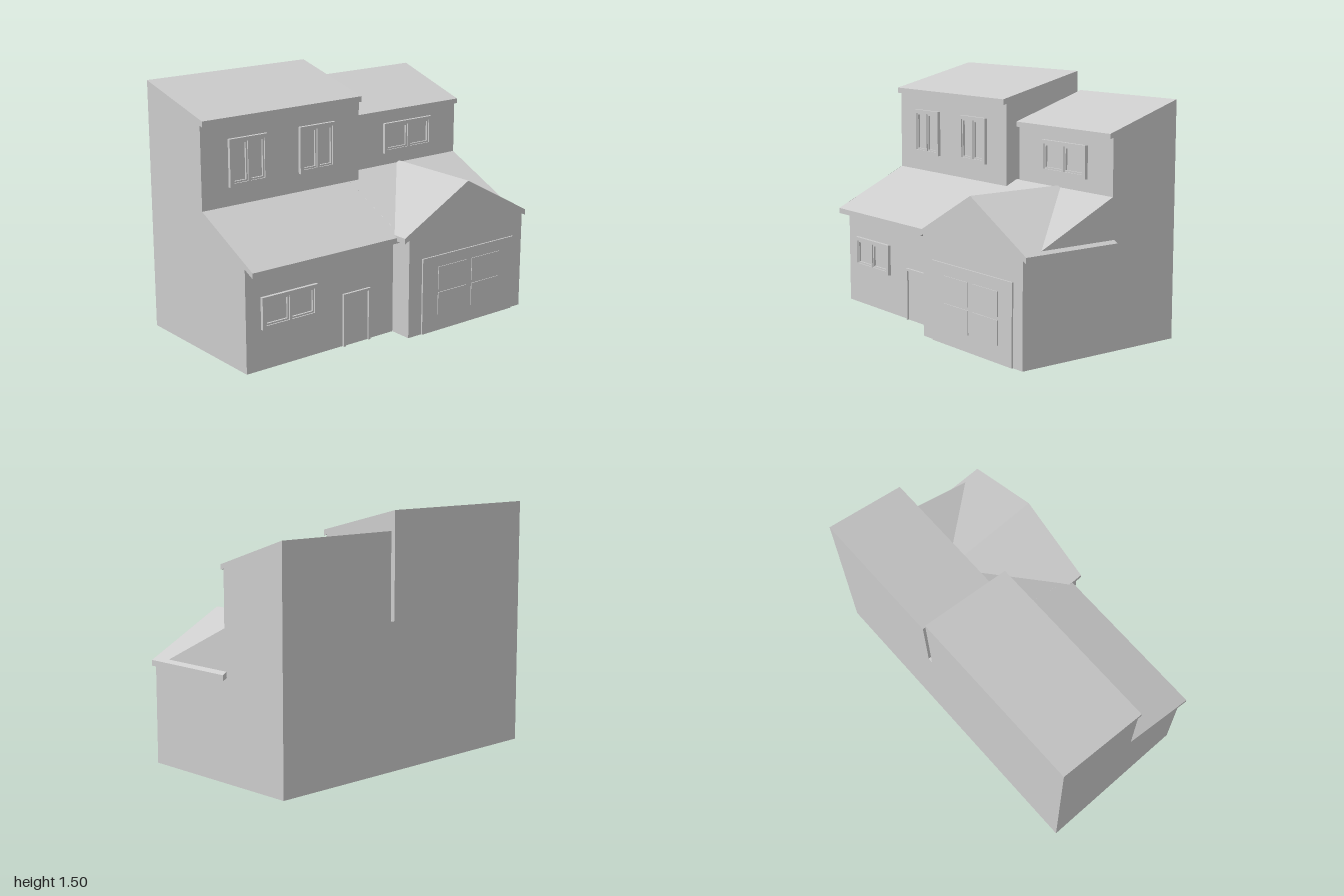
import * as THREE from 'three';

const material = new THREE.MeshStandardMaterial({ color: 0xcccccc, side: THREE.DoubleSide, flatShading: true });

function add(parent, name, geometry, x = 0, y = 0, z = 0) {
  const mesh = new THREE.Mesh(geometry, material);
  mesh.name = name;
  mesh.position.set(x, y, z);
  parent.add(mesh);
  return mesh;
}

function fromTriangles(points) {
  const g = new THREE.BufferGeometry();
  g.setAttribute('position', new THREE.Float32BufferAttribute(points.flat(), 3));
  g.computeVertexNormals();
  return g;
}

// A profile is [z, y] for axis 'x' and [x, y] for axis 'z'.
const place = (axis, [a, b], c) => (axis === 'x' ? [c, b, a] : [a, b, c]);

// Open surface swept straight along the axis from c0 to c1
function strip(axis, path, c0, c1) {
  const out = [];
  for (let i = 0; i < path.length - 1; i++) {
    const a = place(axis, path[i], c0), b = place(axis, path[i], c1);
    const c = place(axis, path[i + 1], c1), d = place(axis, path[i + 1], c0);
    out.push(a, b, c, a, c, d);
  }
  return fromTriangles(out);
}

// Flat polygon across the axis
function cap(axis, path, c) {
  const pts = path.map(([a, b]) => new THREE.Vector2(a, b));
  const tris = THREE.ShapeUtils.triangulateShape(pts, []);
  return fromTriangles(tris.flat().map((i) => place(axis, path[i], c)));
}

function rect(Type, x0, y0, x1, y1) {
  const s = new Type();
  s.moveTo(x0, y0).lineTo(x1, y0).lineTo(x1, y1).lineTo(x0, y1).closePath();
  return s;
}

// Two-pane window set through a wall at depth z
function windowUnit(parent, x0, x1, y0, y1, z) {
  const group = new THREE.Group();
  group.name = 'window';
  const b = 0.022, mid = (x0 + x1) / 2;
  const shape = rect(THREE.Shape, x0, y0, x1, y1);
  for (const [l, r] of [[x0 + b, mid - b / 3], [mid + b / 3, x1 - b]]) {
    shape.holes.push(rect(THREE.Path, l, y0 + b, r, y1 - b));
    // Slim sash inside each opening
    const sash = rect(THREE.Shape, l, y0 + b, r, y1 - b);
    sash.holes.push(rect(THREE.Path, l + 0.01, y0 + b + 0.01, r - 0.01, y1 - b - 0.01));
    add(group, 'sash', new THREE.ExtrudeGeometry(sash, { depth: 0.012, bevelEnabled: false }), 0, 0, z);
  }
  add(group, 'windowFrame', new THREE.ExtrudeGeometry(shape, { depth: 0.04, bevelEnabled: false }), 0, 0, z - 0.02);
  parent.add(group);
}

export function createModel() {
  const house = new THREE.Group();
  house.name = 'house';
  const back = -0.56, left = -1, right = 0.97, gap0 = 0.12, gap1 = 0.15;

  // Profiles [z, y] running up the front and over the roofs
  const lowerFront = [[0.4, 0], [0.4, 0.61], [0.475, 0.575], [0.475, 0.608]];
  const tallUpper = [[-0.01, 0.84], [-0.01, 1.33], [0.015, 1.324], [0.015, 1.358], [back, 1.502]];
  const shortUpper = [[-0.085, 0.875], [-0.085, 1.203], [-0.06, 1.195], [-0.06, 1.225], [back, 1.387]];

  // Ground floor front and lean-to roof
  add(house, 'lowerFrontWall', strip('x', lowerFront, left, 0.05));
  add(house, 'lowerRoof', strip('x', [[0.475, 0.608], [-0.085, 0.875]], left, 0.05));
  add(house, 'lowerRoofBehindGable', strip('x', [[0.42, 0.635], [-0.085, 0.875]], 0.05, right));

  // Upper storeys
  add(house, 'tallUpperWallAndRoof', strip('x', tallUpper, left, gap0));
  add(house, 'shortUpperWallAndRoof', strip('x', shortUpper, gap1, right));
  add(house, 'gapFloor', strip('x', [[-0.085, 0.875], [back, 0.875]], gap0, gap1));
  add(house, 'tallInnerWall', cap('x', [[back, 0.875], [-0.085, 0.875], ...tallUpper], gap0));
  add(house, 'shortInnerWall', cap('x', [[back, 0.875], ...shortUpper], gap1));

  // Outer side walls
  add(house, 'rightSideWall', cap('x', [[back, 0], ...lowerFront, ...tallUpper], left));
  add(house, 'leftSideWall', cap('x', [[back, 0], [0.545, 0], [0.545, 0.62], [0.42, 0.635], ...shortUpper], right));

  // Back wall with the narrow notch between the two storeys
  add(house, 'backWall', cap('z', [[left, 0], [right, 0], [right, 1.387], [gap1, 1.387], [gap1, 0.875],
    [gap0, 0.875], [gap0, 1.502], [left, 1.502]], back));

  // Garage with gable roof
  const roof = [[0.05, 0.603], [0.016, 0.586], [0.016, 0.62], [0.507, 0.885], [0.998, 0.62], [0.998, 0.586], [right, 0.6]];
  add(house, 'garageFront', cap('z', [[0.05, 0], ...roof, [right, 0]], 0.545));
  add(house, 'garageSideWall', strip('z', [[0.05, 0], [0.05, 0.603]], -0.1, 0.545));
  add(house, 'gableRoof', strip('z', roof, -0.1, 0.545));
  add(house, 'eaveEnd', cap('z', [[right, 0.6], [0.998, 0.586], [0.998, 0.62], [right, 0.635]], -0.1));

  // Garage door with four raised panels
  add(house, 'garageDoor', new THREE.BoxGeometry(0.74, 0.47, 0.02), 0.52, 0.235, 0.545);
  for (const x of [0.385, 0.655])
    for (const y of [0.17, 0.33])
      add(house, 'garageDoorPanel', new THREE.BoxGeometry(0.23, 0.14, 0.01), x, y, 0.555);

  // Front door and its casing
  const casing = new THREE.Shape();
  casing.moveTo(-0.33, 0).lineTo(-0.315, 0).lineTo(-0.315, 0.305).lineTo(-0.145, 0.305)
    .lineTo(-0.145, 0).lineTo(-0.13, 0).lineTo(-0.13, 0.32).lineTo(-0.33, 0.32).closePath();
  add(house, 'doorCasing', new THREE.ExtrudeGeometry(casing, { depth: 0.03, bevelEnabled: false }), 0, 0, 0.385);
  add(house, 'frontDoor', new THREE.BoxGeometry(0.17, 0.305, 0.008), -0.23, 0.1525, 0.4);

  // Windows
  windowUnit(house, -0.82, -0.56, 0.95, 1.23, -0.01);
  windowUnit(house, -0.33, -0.07, 0.95, 1.23, -0.01);
  windowUnit(house, 0.375, 0.76, 0.95, 1.14, -0.085);
  windowUnit(house, -0.9, -0.52, 0.24, 0.43, 0.4);

  return house;
}
